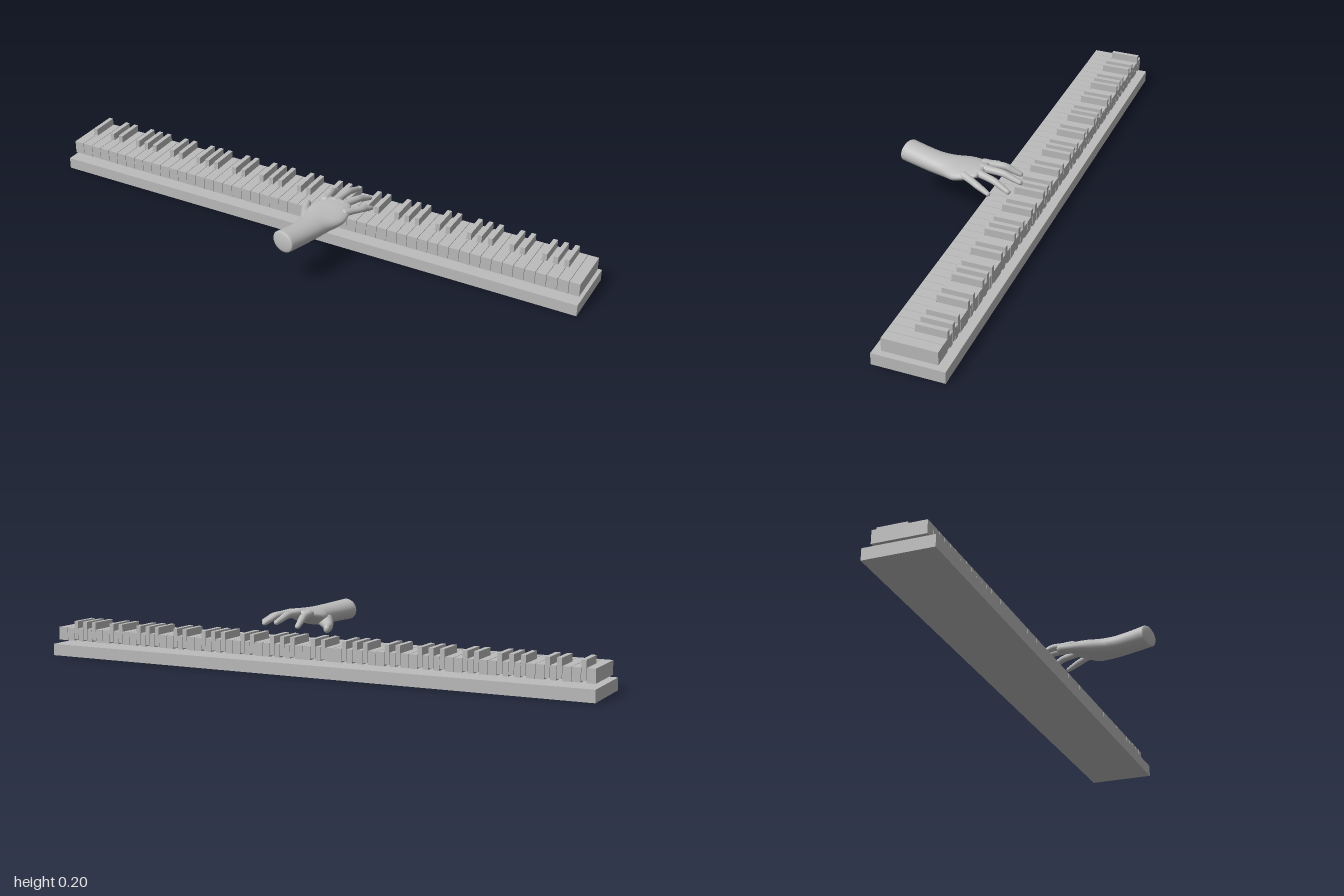
import * as THREE from 'three';

const grey = new THREE.MeshStandardMaterial({ color: 0xbcbcbc });
grey.name = 'plain grey';

function add(parent, name, geometry) {
  const mesh = new THREE.Mesh(geometry, grey);
  mesh.name = name;
  parent.add(mesh);
  return mesh;
}

function box(parent, name, x0, x1, y0, y1, z0, z1) {
  const mesh = add(parent, name, new THREE.BoxGeometry(x1 - x0, y1 - y0, z1 - z0));
  mesh.position.set((x0 + x1) / 2, (y0 + y1) / 2, (z0 + z1) / 2);
}

// Smooth tube through sections [x, y, z, half width, half height], with domed ends.
function loft(sections, steps, startDome, endDome, sides = 24) {
  const spine = new THREE.CatmullRomCurve3(sections.map(s => new THREE.Vector3(s[0], s[1], s[2])), false, 'catmullrom', 0.5);
  const radii = new THREE.CatmullRomCurve3(sections.map(s => new THREE.Vector3(s[3], s[4], 0)), false, 'catmullrom', 0.5);
  const up = new THREE.Vector3(0, 1, 0);
  const positions = [], index = [];
  let rings = 0;
  const ring = (t, shift, scale) => {
    const tangent = spine.getTangent(t);
    const side = tangent.clone().cross(up).normalize();
    const rise = side.clone().cross(tangent);
    const centre = spine.getPoint(t).addScaledVector(tangent, shift);
    const r = radii.getPoint(t);
    for (let j = 0; j < sides; j++) {
      const a = j / sides * Math.PI * 2;
      const p = centre.clone()
        .addScaledVector(side, r.x * scale * Math.cos(a))
        .addScaledVector(rise, r.y * scale * Math.sin(a));
      positions.push(p.x, p.y, p.z);
    }
    rings++;
  };
  const quarter = k => k / 5 * Math.PI / 2;
  for (let k = 5; k > 0; k--) ring(0, -startDome * Math.sin(quarter(k)), Math.cos(quarter(k)));
  for (let i = 0; i <= steps; i++) ring(i / steps, 0, 1);
  for (let k = 1; k <= 5; k++) ring(1, endDome * Math.sin(quarter(k)), Math.cos(quarter(k)));
  for (let i = 0; i < rings - 1; i++) {
    for (let j = 0; j < sides; j++) {
      const a = i * sides + j, b = i * sides + (j + 1) % sides;
      index.push(a, a + sides, b, b, a + sides, b + sides);
    }
  }
  const geometry = new THREE.BufferGeometry();
  geometry.setAttribute('position', new THREE.Float32BufferAttribute(positions, 3));
  geometry.setIndex(index);
  geometry.computeVertexNormals();
  return geometry;
}

function createKeyboard() {
  const keyboard = new THREE.Group();
  keyboard.name = 'keyboard';
  box(keyboard, 'baseBoard', -1, 1, 0, 0.041, -0.272, -0.034);

  // 52 long keys, starting on the sixth note of an octave
  const count = 52, left = -0.993, pitch = 1.986 / count;
  const gap = 0.0008, slot = 0.0095;
  const back = 0.247, front = 0.066, shoulder = 0.144;
  const sharpAfter = i => i >= 0 && i < count - 1 && [0, 2, 3, 5, 6].includes(i % 7);
  for (let i = 0; i < count; i++) {
    const x0 = left + i * pitch + gap, x1 = left + (i + 1) * pitch - gap;
    const n0 = sharpAfter(i - 1) ? left + i * pitch + slot : x0;
    const n1 = sharpAfter(i) ? left + (i + 1) * pitch - slot : x1;
    const outline = new THREE.Shape([
      [x0, front], [x1, front], [x1, shoulder], [n1, shoulder],
      [n1, back], [n0, back], [n0, shoulder], [x0, shoulder],
    ].map(p => new THREE.Vector2(p[0], p[1])));
    const geometry = new THREE.ExtrudeGeometry(outline, { depth: 0.046, bevelEnabled: false });
    geometry.rotateX(-Math.PI / 2);
    add(keyboard, 'longKey', geometry).position.y = 0.054;

    // Short raised key between two long ones
    if (sharpAfter(i)) {
      const x = left + (i + 1) * pitch;
      box(keyboard, 'shortKey', x - 0.008, x + 0.008, 0.06, 0.125, -back, -0.1455);
    }
  }
  return keyboard;
}

function createHand() {
  const hand = new THREE.Group();
  hand.name = 'hand';
  add(hand, 'forearmAndPalm', loft([
    [0.086, 0.161, 0.254, 0.044, 0.037],
    [0.101, 0.158, 0.200, 0.045, 0.035],
    [0.115, 0.155, 0.140, 0.047, 0.034],
    [0.121, 0.154, 0.090, 0.055, 0.033],
    [0.128, 0.159, 0.040, 0.073, 0.028],
    [0.134, 0.168, 0.000, 0.068, 0.021],
    [0.138, 0.175, -0.035, 0.052, 0.014],
  ], 36, 0.008, 0.012, 36));

  add(hand, 'thumb', loft([
    [0.100, 0.146, 0.100, 0.030, 0.022],
    [0.068, 0.140, 0.052, 0.026, 0.023],
    [0.036, 0.133, 0.008, 0.017, 0.016],
    [0.022, 0.130, -0.022, 0.014, 0.015],
    [0.014, 0.129, -0.045, 0.012, 0.014],
  ], 20, 0.01, 0.011));

  // Fingers from knuckle to tip: [name, knuckle, middle joint, tip, half width]
  const fingers = [
    ['indexFinger', [0.092, 0.175, -0.025], [0.080, 0.170, -0.095], [0.072, 0.147, -0.147], 0.0125],
    ['middleFinger', [0.126, 0.177, -0.030], [0.134, 0.176, -0.110], [0.140, 0.159, -0.171], 0.0125],
    ['ringFinger', [0.158, 0.175, -0.025], [0.182, 0.171, -0.095], [0.198, 0.151, -0.150], 0.0120],
    ['littleFinger', [0.184, 0.171, 0.010], [0.218, 0.164, -0.050], [0.232, 0.150, -0.093], 0.0115],
  ];
  for (const [name, knuckle, joint, tip, r] of fingers) {
    const mid = (a, b) => a.map((v, i) => (v + b[i]) / 2);
    add(hand, name, loft([
      [...knuckle, r * 1.35, r * 1.15],
      [...mid(knuckle, joint), r * 1.05, r],
      [...joint, r * 1.05, r * 0.95],
      [...mid(joint, tip), r * 0.92, r * 0.85],
      [...tip, r * 0.75, r * 0.68],
    ], 20, 0.012, 0.009));
  }
  return hand;
}

export function createModel() {
  const model = new THREE.Group();
  model.name = 'handOverKeyboard';
  model.add(createKeyboard(), createHand());
  return model;
}
